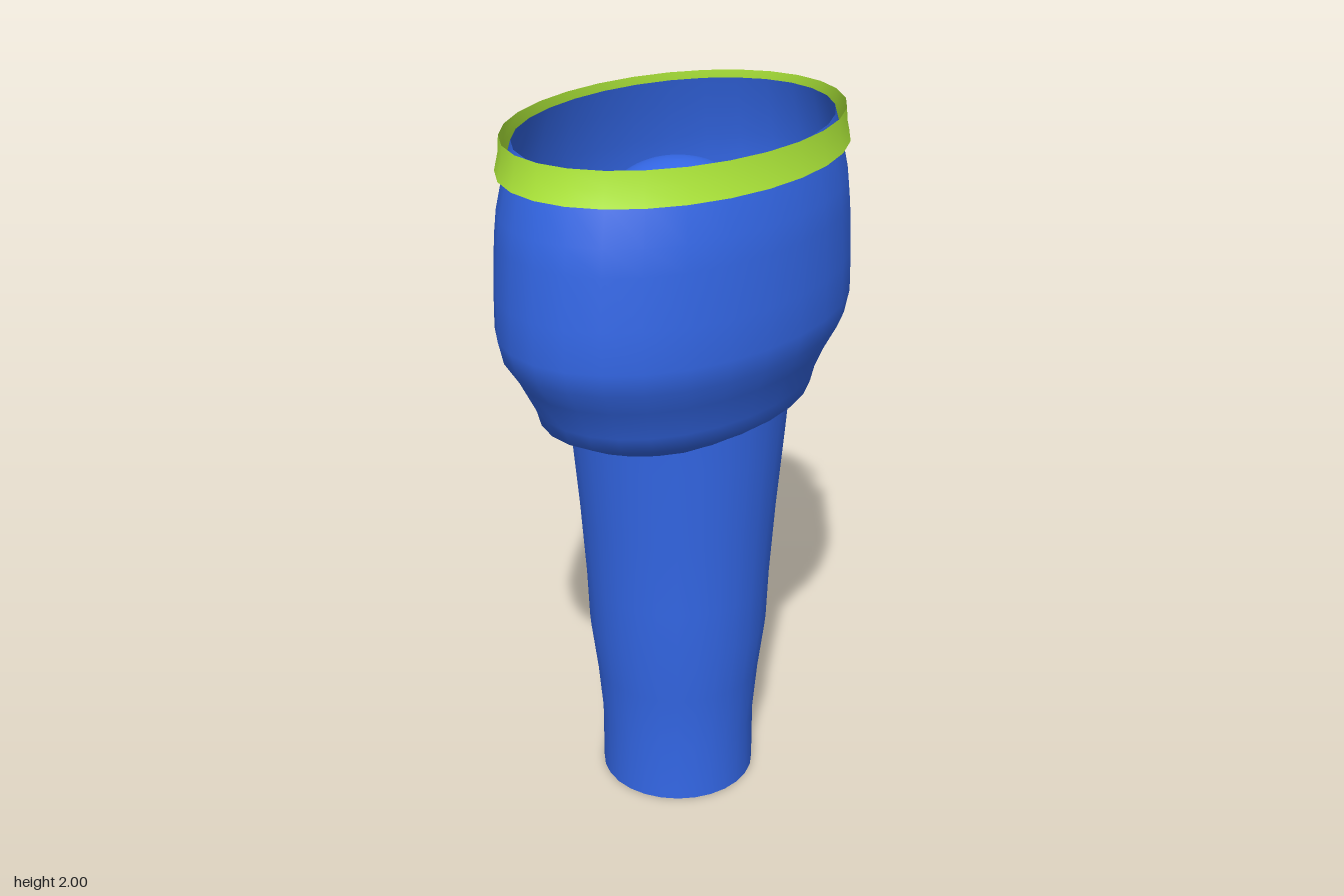
import * as THREE from 'three';

const SIDES = 28;
const OVAL = 0.705; // depth of the cup relative to its width

const blue = new THREE.MeshStandardMaterial({ color: 0x3468e8, side: THREE.DoubleSide });
const green = new THREE.MeshStandardMaterial({ color: 0xb4f03c, side: THREE.DoubleSide });

// Turned surface from [radius, height] pairs, listed bottom to top
function turned(name, profile, material, depth = 1) {
  const points = profile.map(([r, y]) => new THREE.Vector2(r, y));
  const geometry = new THREE.LatheGeometry(points, SIDES);
  geometry.scale(1, 1, depth);
  const mesh = new THREE.Mesh(geometry, material);
  mesh.name = name;
  return mesh;
}

export function createModel() {
  const group = new THREE.Group();
  group.name = 'cupOnStem';

  // Stem, flaring upward and continuing inside the cup
  const stem = new THREE.Group();
  stem.name = 'stem';
  stem.add(turned('stemWall', [
    [0.225, 0], [0.225, 0.18], [0.24, 0.35], [0.259, 0.5], [0.265, 0.65],
    [0.28, 0.87], [0.3, 1.1], [0.308, 1.2], [0.333, 1.45], [0.345, 1.62],
  ], blue));
  stem.add(turned('stemChamfer', [[0.345, 1.62], [0.32, 1.69]], blue));
  stem.add(turned('stemShoulder', [[0.32, 1.69], [0.27, 1.715], [0.208, 1.73]], blue));
  stem.add(turned('stemBase', [[0, 0], [0.225, 0]], blue));

  // Rounded knob closing the top of the stem
  const dome = [];
  for (let i = 0; i <= 10; i++) {
    const a = (i / 10) * Math.PI / 2;
    dome.push([i === 10 ? 0 : 0.208 * Math.cos(a), 1.73 + 0.155 * Math.sin(a)]);
  }
  stem.add(turned('dome', dome, blue));
  group.add(stem);

  // Oval cup, a thin open shell
  group.add(turned('cup', [
    [0.24, 1.15], [0.3, 1.155], [0.37, 1.18], [0.452, 1.225], [0.466, 1.27],
    [0.515, 1.36], [0.56, 1.425], [0.576, 1.49], [0.574, 1.6], [0.565, 1.74],
    [0.556, 1.81], [0.53, 1.91], [0.505, 1.985],
  ], blue, OVAL));

  // Flared hoop standing just off the rim
  group.add(turned('rimBand', [[0.553, 1.91], [0.541, 1.955], [0.537, 2]], green, 0.715));

  return group;
}
